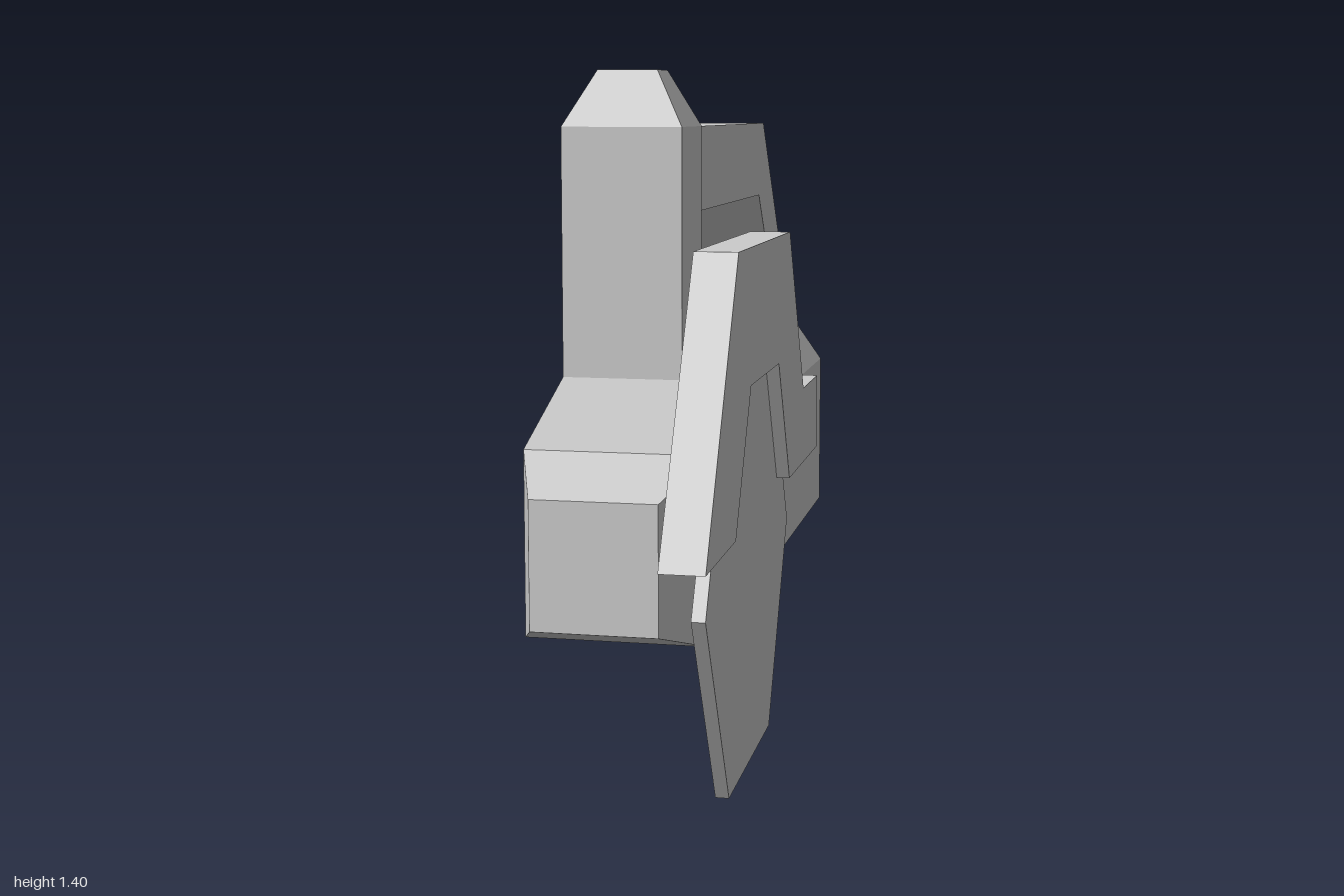
import * as THREE from 'three';

const material = new THREE.MeshStandardMaterial({ color: 0xcccccc, flatShading: true });

function addMesh(group, name, geometry) {
  const mesh = new THREE.Mesh(geometry, material);
  mesh.name = name;
  group.add(mesh);
  return mesh;
}

// Lofts four-sided sections: [x0, x1, [z, y] of outer edge, [z, y] of inner edge]
function loft(sections) {
  const positions = [];
  const indices = [];
  for (const [x0, x1, [za, ya], [zb, yb]] of sections) {
    positions.push(x0, ya, za, x1, ya, za, x1, yb, zb, x0, yb, zb);
  }
  for (let i = 0; i < sections.length - 1; i++) {
    for (let j = 0; j < 4; j++) {
      const a = i * 4 + j;
      const b = i * 4 + (j + 1) % 4;
      indices.push(a, a + 4, b + 4, a, b + 4, b);
    }
  }
  const e = (sections.length - 1) * 4;
  indices.push(0, 1, 2, 0, 2, 3, e, e + 2, e + 1, e, e + 3, e + 2);
  const indexed = new THREE.BufferGeometry();
  indexed.setAttribute('position', new THREE.Float32BufferAttribute(positions, 3));
  indexed.setIndex(indices);
  const geometry = indexed.toNonIndexed();
  geometry.computeVertexNormals();
  return geometry;
}

// Side profile of [z, y] points, extruded from x0 to x1
function plate(points, x0, x1) {
  const shape = new THREE.Shape(points.map(([z, y]) => new THREE.Vector2(-z, y)));
  return new THREE.ExtrudeGeometry(shape, { depth: x1 - x0, bevelEnabled: false })
    .rotateY(Math.PI / 2)
    .translate(x0, 0, 0);
}

export function createModel() {
  const saw = new THREE.Group();
  saw.name = 'circularSaw';

  // Motor body with tapered nose
  addMesh(saw, 'body', loft([
    [-0.23, 0.145, [-1, 0.66], [-1, 0.28]],
    [-0.23, 0.145, [0.55, 0.66], [0.55, 0.28]],
    [-0.165, 0.085, [0.745, 0.6], [0.745, 0.345]],
  ]));

  // Upright post with flared foot and tapered cap
  addMesh(saw, 'frontPost', loft([
    [-0.23, 0.145, [0.245, 0.66], [0.55, 0.66]],
    [-0.16, 0.08, [0.31, 0.8], [0.505, 0.8]],
    [-0.16, 0.08, [0.31, 1.29], [0.505, 1.29]],
    [-0.1, 0.02, [0.355, 1.4], [0.45, 1.4]],
  ]));

  // Handle rising from a flared foot and running forward to the post
  addMesh(saw, 'handle', loft([
    [-0.23, 0.145, [-1, 0.66], [-0.65, 0.66]],
    [-0.147, 0.07, [-0.925, 0.79], [-0.73, 0.79]],
    [-0.15, 0.07, [-0.5, 1.29], [-0.44, 1.12]],
    [-0.157, 0.077, [0.33, 1.29], [0.33, 1.12]],
  ]));

  // Trigger behind the post, under the handle
  addMesh(saw, 'trigger', new THREE.BoxGeometry(0.055, 0.13, 0.08))
    .position.set(-0.035, 1.035, 0.28);

  // Blade guard with angular cut-out
  addMesh(saw, 'bladeGuard', plate([
    [1, 0.53], [0.69, 1.065], [0.075, 1.065], [-0.14, 0.7], [-0.36, 0.7],
    [-0.36, 0.53], [0.06, 0.53], [0.215, 0.8], [0.55, 0.8], [0.71, 0.53],
  ], 0.14, 0.225));

  // Six-sided blade
  const hexagon = Array.from({ length: 6 }, (_, i) => {
    const angle = i * Math.PI / 3;
    return [0.385 + 0.474 * Math.cos(angle), 0.4105 + 0.474 * Math.sin(angle)];
  });
  addMesh(saw, 'blade', plate(hexagon, 0.17, 0.197));

  return saw;
}
